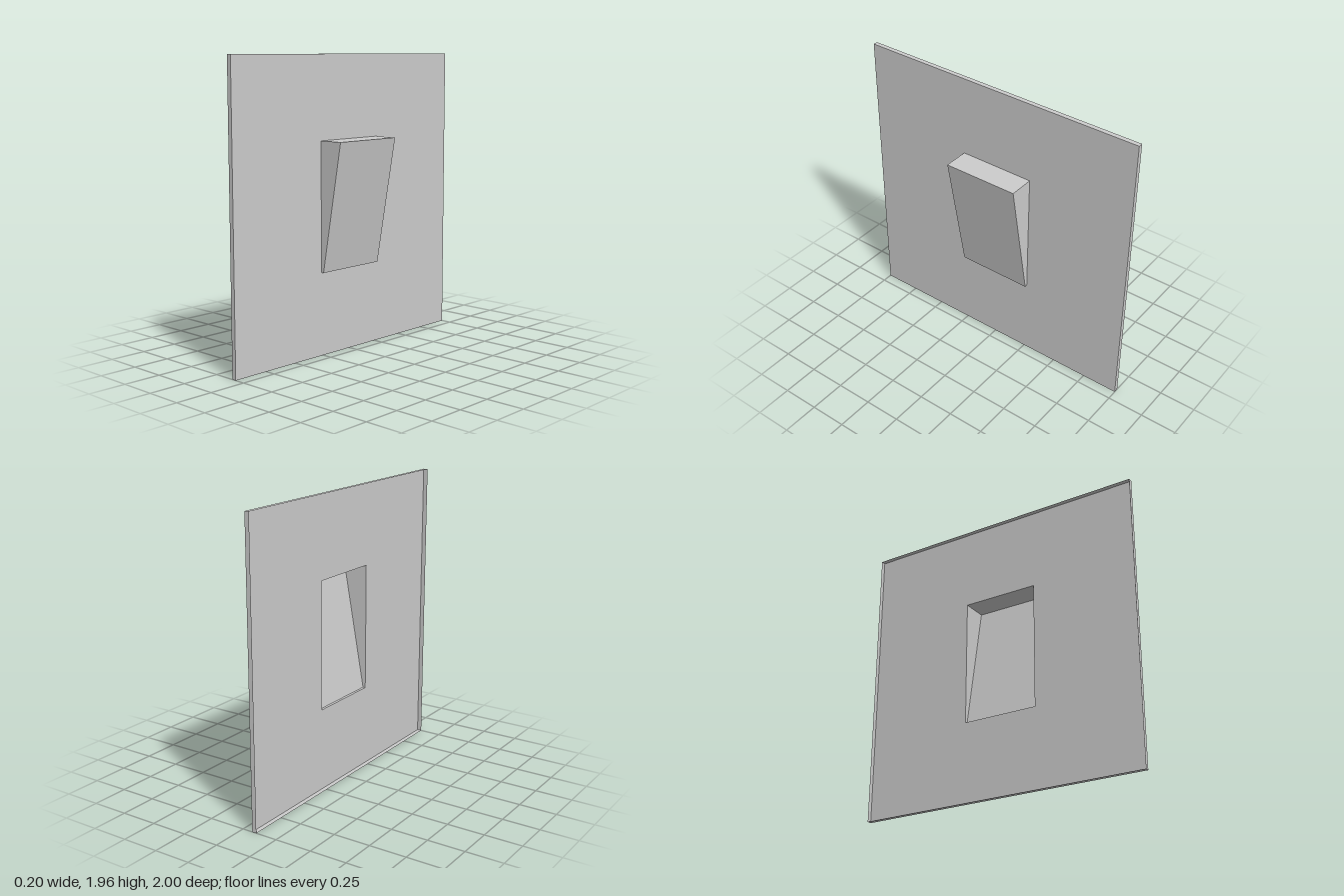
import * as THREE from 'three';

const BACK = -0.102, FACE = -0.071;       // depth of the tray, open at the back
const HEIGHT = 1.957, HALF = 1;           // panel size
const Y0 = 0.553, Y1 = 1.408, W = 0.26;   // wedge opening

const material = new THREE.MeshStandardMaterial({
  color: 0xcccccc, flatShading: true, side: THREE.DoubleSide,
});

// Rectangle across the x axis, counter-clockwise from +x; its lower and upper edges may differ in x
const rect = (xLow, xHigh, y0, y1, w) => [
  [xLow, y0, w], [xLow, y0, -w], [xHigh, y1, -w], [xHigh, y1, w],
];

function quads(list) {
  const pos = list.flatMap(([a, b, c, d]) => [a, b, c, a, c, d]).flat();
  const g = new THREE.BufferGeometry();
  g.setAttribute('position', new THREE.Float32BufferAttribute(pos, 3));
  g.computeVertexNormals();
  return g;
}

// Four walls joining a back rectangle to a front one
const walls = (a, b) => a.map((p, i) => [p, a[(i + 1) % 4], b[(i + 1) % 4], b[i]]);

function part(name, geometry) {
  const mesh = new THREE.Mesh(geometry, material);
  mesh.name = name;
  return mesh;
}

export function createModel() {
  const group = new THREE.Group();
  group.name = 'wedgePanel';

  // Panel face with the opening into the hollow wedge
  const outline = (Path, y0, y1, w) => new Path(
    [[-w, y0], [w, y0], [w, y1], [-w, y1]].map(([x, y]) => new THREE.Vector2(x, y)));
  const shape = outline(THREE.Shape, 0, HEIGHT, HALF);
  shape.holes.push(outline(THREE.Path, Y0, Y1, W));
  const face = new THREE.ShapeGeometry(shape).rotateY(Math.PI / 2).translate(FACE, 0, 0);
  group.add(part('panelFace', face));

  // Thin rim turned back around the panel
  group.add(part('panelRim', quads(walls(
    rect(BACK, BACK, 0, HEIGHT, HALF), rect(FACE, FACE, 0, HEIGHT, HALF)))));

  // Hollow wedge: four walls and a sloping front
  const front = rect(-0.053, 0.102, Y0, Y1, W);
  group.add(part('wedge', quads([...walls(rect(FACE, FACE, Y0, Y1, W), front), front])));

  return group;
}
